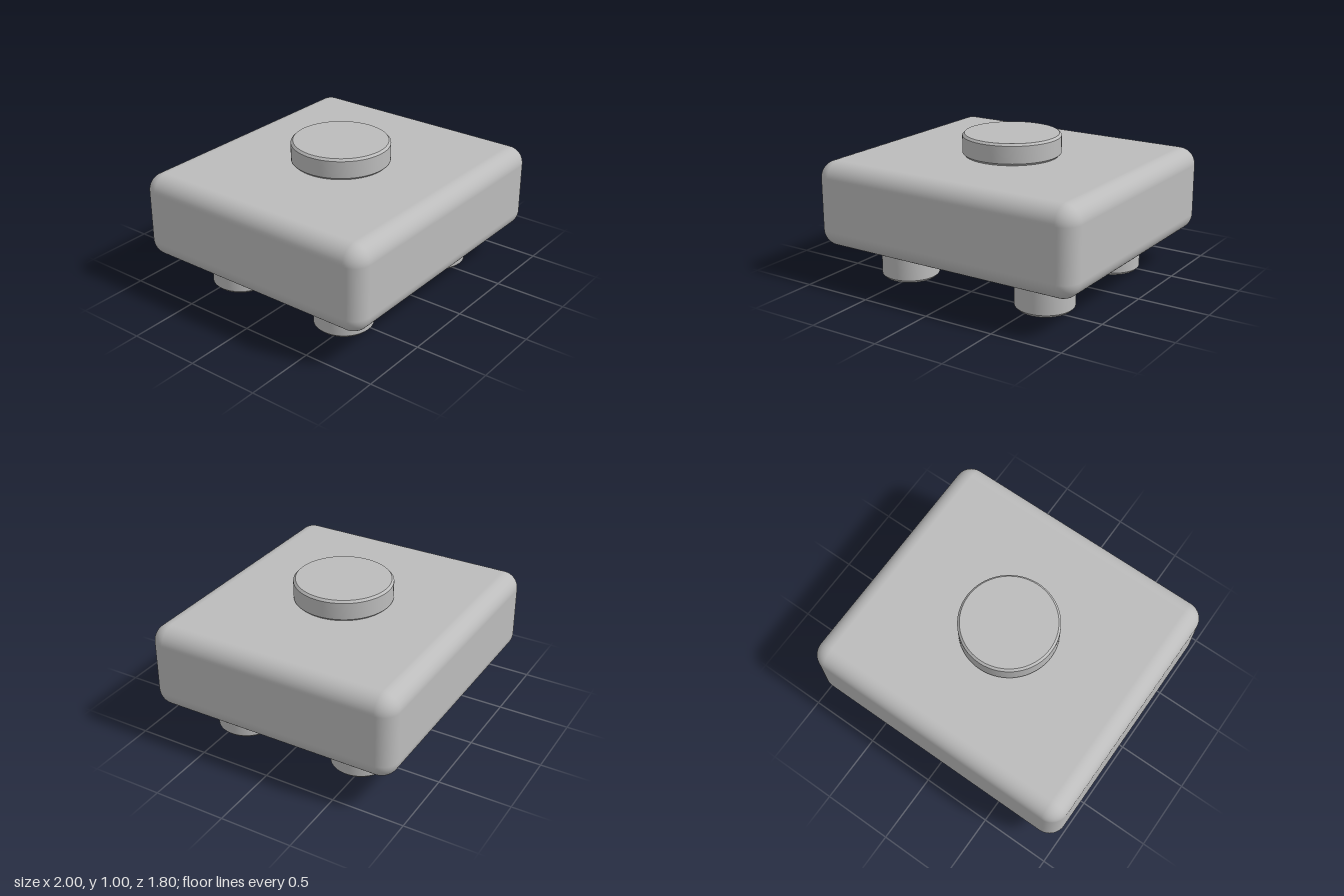
import * as THREE from 'three';
import { toCreasedNormals } from 'three/addons/utils/BufferGeometryUtils.js';
import { RoundedBoxGeometry } from 'three/addons/geometries/RoundedBoxGeometry.js';

// Solid disc standing on y = 0 with chamfered rims
function chamferedCylinder(radius, height, chamfer) {
  const profile = [
    [0, 0],
    [radius - chamfer, 0],
    [radius, chamfer],
    [radius, height - chamfer],
    [radius - chamfer, height],
    [0, height],
  ].map(([r, y]) => new THREE.Vector2(r, y));
  return toCreasedNormals(new THREE.LatheGeometry(profile, 64), 0.5);
}

export function createModel() {
  const model = new THREE.Group();
  model.name = 'roundedBlock';
  const grey = new THREE.MeshStandardMaterial({ color: 0xbcbcbc });
  grey.name = 'plain grey';

  const add = (name, geometry, x, y, z) => {
    const mesh = new THREE.Mesh(geometry, grey);
    mesh.name = name;
    mesh.position.set(x, y, z);
    model.add(mesh);
  };

  // Body slab with rounded edges
  add('body', new RoundedBoxGeometry(2, 0.6, 1.8, 8, 0.12), 0, 0.55, 0);

  // Round button on top
  add('topButton', chamferedCylinder(0.34, 0.15, 0.015), 0, 0.85, 0);

  // Four short feet
  const foot = chamferedCylinder(0.2, 0.25, 0.02);
  for (const [side, x] of [['Left', 0.55], ['Right', -0.55]]) {
    for (const [end, z] of [['front', 0.45], ['back', -0.45]]) {
      add(`${end}${side}Foot`, foot, x, 0, z);
    }
  }

  return model;
}
